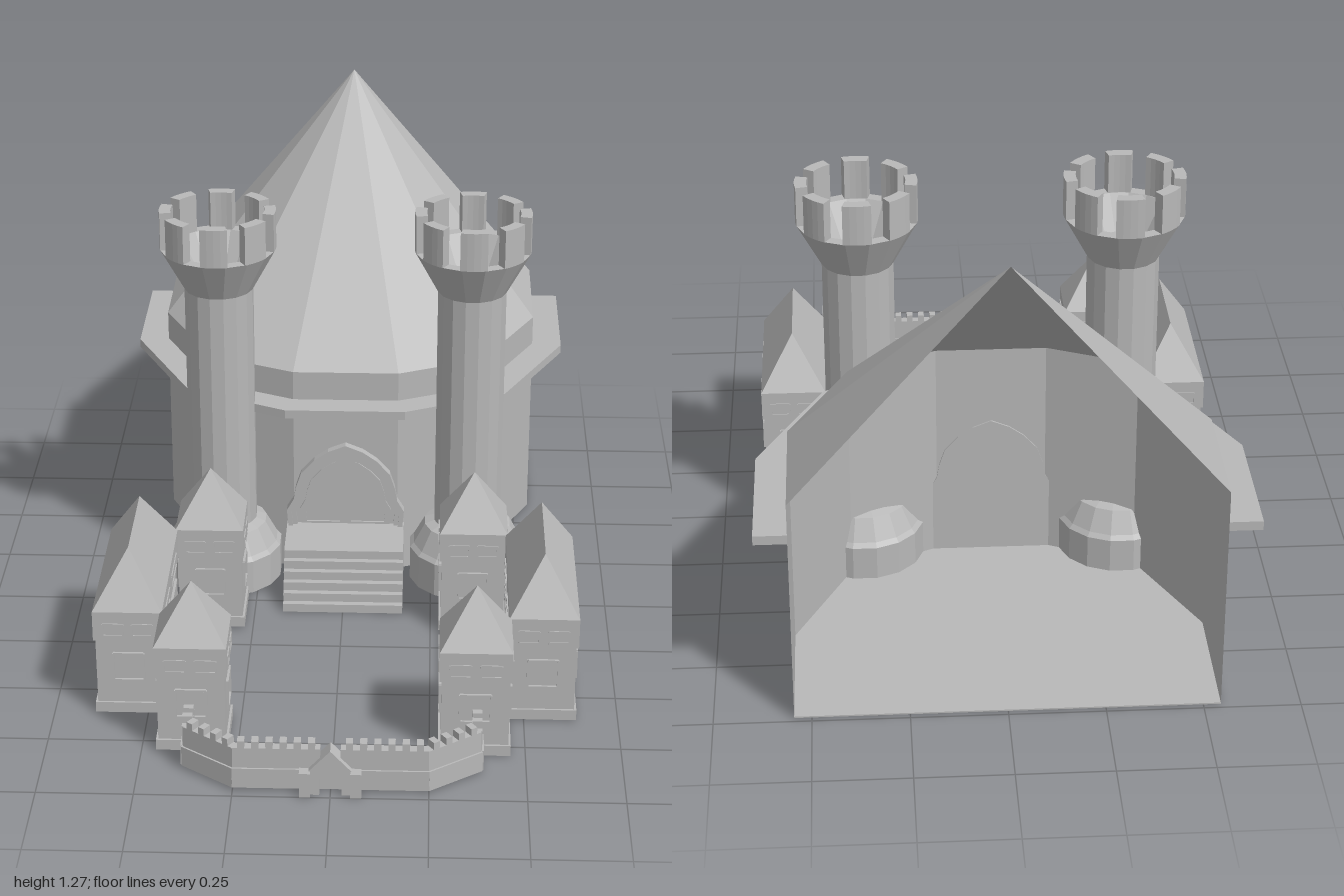
import * as THREE from 'three';

const stone = new THREE.MeshStandardMaterial({ color: 0xb8b8b8, flatShading: true, side: THREE.DoubleSide });
stone.name = 'grey stone';

function add(parent, name, geometry, x = 0, y = 0, z = 0) {
  const m = new THREE.Mesh(geometry, stone);
  m.name = name;
  m.position.set(x, y, z);
  parent.add(m);
  return m;
}

// Box given by its centre in plan and its bottom and top heights
function block(parent, name, w, d, y0, y1, x = 0, z = 0) {
  return add(parent, name, new THREE.BoxGeometry(w, y1 - y0, d), x, (y0 + y1) / 2, z);
}

// Plan shape from [x, z] points, laid flat and extruded upward
function slab(points, height) {
  const s = new THREE.Shape(points.map(([x, z]) => new THREE.Vector2(x, -z)));
  return new THREE.ExtrudeGeometry(s, { depth: height, bevelEnabled: false }).rotateX(-Math.PI / 2);
}

const mirror = (half) => [...half.map(([x, z]) => [-x, z]), ...half.slice().reverse()];

// Great hall: half of a polygonal building, open at the back
function createHall() {
  const hall = new THREE.Group();
  hall.name = 'greatHall';
  const plan = mirror([[0.545, -0.985], [0.545, -0.62], [0.39, -0.31], [0.15, -0.205]]);
  const wall = [], roof = [];
  for (let i = 0; i < plan.length - 1; i++) {
    const [ax, az] = plan[i], [bx, bz] = plan[i + 1];
    wall.push(ax, 0, az, bx, 0, bz, bx, 0.63, bz, ax, 0, az, bx, 0.63, bz, ax, 0.63, az);
    roof.push(ax, 0.63, az, bx, 0.63, bz, 0, 1.27, -1);
  }
  for (const [name, list] of [['hallWall', wall], ['hallRoof', roof]]) {
    const g = new THREE.BufferGeometry();
    g.setAttribute('position', new THREE.Float32BufferAttribute(list, 3));
    g.computeVertexNormals();
    add(hall, name, g);
  }
  add(hall, 'hallFloor', slab(plan, 0.004));
  const outer = mirror([[0.63, -0.985], [0.63, -0.61], [0.455, -0.26], [0.17, -0.13]]);
  add(hall, 'hallLedge', slab([...outer, ...plan.slice().reverse()], 0.025), 0, 0.52);
  return hall;
}

// Double door with a wavy arched frame
function createDoor() {
  const door = new THREE.Group();
  door.name = 'mainDoor';
  const half = [[0.165, 0], [0.17, 0.06], [0.15, 0.095], [0.143, 0.135], [0.128, 0.18], [0.09, 0.222], [0.05, 0.25], [0, 0.27]];
  const outline = (k) => [...half.map(([x, y]) => new THREE.Vector2(x * k, y * k)),
    ...half.slice(0, -1).reverse().map(([x, y]) => new THREE.Vector2(-x * k, y * k))];
  const frame = (name, k0, k1, depth) => {
    const s = new THREE.Shape([...outline(k0), ...outline(k1).reverse()]);
    add(door, name, new THREE.ExtrudeGeometry(s, { depth, bevelEnabled: false }));
  };
  frame('outerFrame', 1, 0.92, 0.03);
  frame('innerFrame', 0.92, 0.84, 0.022);
  add(door, 'doorPanel', new THREE.ExtrudeGeometry(new THREE.Shape(outline(0.84)), { depth: 0.01, bevelEnabled: false }));
  // Raised border on each leaf
  for (const side of [-1, 1]) {
    const leaf = (k, in0) => [[in0, 0.012], ...half.map(([x, y]) => [Math.max(x * k, in0), y * k + 0.012])];
    const s = new THREE.Shape(leaf(0.78, 0.006).map(([x, y]) => new THREE.Vector2(x * side, y)));
    s.holes.push(new THREE.Path(leaf(0.68, 0.016).map(([x, y]) => new THREE.Vector2(x * side, y + 0.006))));
    add(door, 'leafBorder', new THREE.ExtrudeGeometry(s, { depth: 0.016, bevelEnabled: false }));
  }
  door.position.set(0, 0.14, -0.21);
  return door;
}

// Round tower with flared base, flared crown and eight merlons
function createTower(x) {
  const tower = new THREE.Group();
  tower.name = 'roundTower';
  const profile = [[0, 0], [0.168, 0], [0.168, 0.1], [0.157, 0.112], [0.125, 0.172], [0.097, 0.182],
    [0.097, 0.9], [0.162, 1.02], [0.13, 1.02], [0.075, 0.93], [0, 0.93]];
  add(tower, 'towerBody', new THREE.LatheGeometry(profile.map(([r, y]) => new THREE.Vector2(r, y)), 16, Math.PI / 16));
  const a = 0.235, s = new THREE.Shape();
  s.absarc(0, 0, 0.162, -a, a, false);
  s.absarc(0, 0, 0.13, a, -a, true);
  const merlon = new THREE.ExtrudeGeometry(s, { depth: 0.11, bevelEnabled: false, curveSegments: 2 }).rotateX(-Math.PI / 2);
  for (let i = 0; i < 8; i++) add(tower, 'towerMerlon', merlon, 0, 1.02).rotation.y = i * Math.PI / 4;
  tower.position.set(x, 0, -0.187);
  return tower;
}

// Window: a thin frame with upright bars, facing along the group's +z
function createWindow(w, h, panes) {
  const win = new THREE.Group();
  win.name = 'window';
  const t = 0.005;
  for (const s of [-1, 1]) block(win, 'windowRail', w, 0.012, s * h / 2 - t / 2, s * h / 2 + t / 2);
  for (let i = 0; i <= panes; i++) block(win, 'windowBar', t, 0.012, -h / 2, h / 2, -w / 2 + w * i / panes);
  return win;
}

// House with plinth, overhanging upper storey and hipped roof
function createHouse(x, z, w, d, ridge) {
  const house = new THREE.Group();
  house.name = 'house';
  const frame = new THREE.Group();
  frame.name = 'plinth';
  house.add(frame);
  for (const s of [-1, 1]) {
    block(frame, 'plinthSide', 0.022, d, 0.005, 0.035, s * (w / 2 - 0.011), 0);
    block(frame, 'plinthEnd', w, 0.022, 0.005, 0.035, 0, s * (d / 2 - 0.011));
  }
  block(house, 'lowerWall', w - 0.012, d - 0.012, 0.025, 0.225);
  block(house, 'upperWall', w, d, 0.225, 0.31);
  const g = new THREE.BoxGeometry(w, 0.15, d), p = g.attributes.position;
  for (let i = 0; i < p.count; i++) {
    if (p.getY(i) > 0) p.setXYZ(i, 0, 0.075, Math.sign(p.getZ(i)) * ridge);
  }
  g.computeVertexNormals();
  add(house, 'hippedRoof', g, 0, 0.385);
  // Windows on all four sides, lower row then a pair above
  for (let k = 0; k < 4; k++) {
    const along = k % 2 ? d : w, out = k % 2 ? w : d, angle = k * Math.PI / 2;
    const place = (win, u, y, r) => {
      win.position.set(Math.cos(angle) * u + Math.sin(angle) * r, y, Math.cos(angle) * r - Math.sin(angle) * u);
      win.rotation.y = angle;
      house.add(win);
    };
    const long = along > 0.3;
    place(createWindow(long ? 0.35 : 0.08, 0.08, long ? 9 : 1), 0, 0.145, out / 2 - 0.005);
    for (const s of [-1, 1]) place(createWindow(along * 0.29, 0.034, 1), s * along * 0.21, 0.257, out / 2 - 0.003);
  }
  house.position.set(x, 0, z);
  return house;
}

// Front curtain wall following a bent path, with small merlons
function createCurtainWall(side) {
  const wall = new THREE.Group();
  wall.name = 'curtainWall';
  const path = [[0.372, 0.79], [0.372, 0.868], [0.245, 0.958], [0.03, 0.958]];
  for (let i = 0; i < 3; i++) {
    const [ax, az] = path[i], [bx, bz] = path[i + 1];
    const dx = (bx - ax) * side, dz = bz - az, len = Math.hypot(dx, dz);
    const part = new THREE.Group();
    part.name = 'wallSection';
    block(part, 'lowerCourse', len + 0.012, 0.036, 0.01, 0.067);
    block(part, 'upperCourse', len + 0.008, 0.026, 0.067, 0.125);
    const n = Math.max(2, Math.round(len / 0.036));
    for (let k = 0; k < n; k++) block(part, 'wallMerlon', 0.018, 0.026, 0.125, 0.145, -len / 2 + len * (k + 0.5) / n);
    part.position.set(side * (ax + bx) / 2, 0, (az + bz) / 2);
    part.rotation.y = -Math.atan2(dz, dx);
    wall.add(part);
  }
  return wall;
}

// Gabled gate with arched opening and side posts
function createGate() {
  const gate = new THREE.Group();
  gate.name = 'gatehouse';
  const s = new THREE.Shape();
  s.moveTo(0.028, 0).lineTo(0.055, 0).lineTo(0.055, 0.07).lineTo(0, 0.13).lineTo(-0.055, 0.07).lineTo(-0.055, 0).lineTo(-0.028, 0);
  s.lineTo(-0.028, 0.045);
  s.absarc(0, 0.045, 0.028, Math.PI, 0, true);
  add(gate, 'gateArch', new THREE.ExtrudeGeometry(s, { depth: 0.045, bevelEnabled: false, curveSegments: 8 }), 0, 0, 0.942);
  for (const x of [-0.065, 0.065]) block(gate, 'gatePost', 0.028, 0.06, 0, 0.07, x, 0.97);
  block(gate, 'gateDoor', 0.06, 0.01, 0, 0.075, 0, 0.955);
  return gate;
}

export function createModel() {
  const castle = new THREE.Group();
  castle.name = 'castle';
  castle.add(createHall(), createDoor(), createGate());
  // Entrance stairs
  const stairs = new THREE.Group();
  stairs.name = 'stairs';
  for (let i = 0; i < 6; i++) {
    const front = 0.062 - i * 0.018;
    block(stairs, 'step', 0.34, front + 0.21, i * 0.025, (i + 1) * 0.025, 0, (front - 0.21) / 2);
  }
  castle.add(stairs);
  for (const side of [-1, 1]) {
    castle.add(createTower(side * 0.354), createCurtainWall(side));
    castle.add(createHouse(side * 0.367, 0.07, 0.188, 0.178, 0));
    castle.add(createHouse(side * 0.367, 0.71, 0.188, 0.178, 0));
    castle.add(createHouse(side * 0.547, 0.39, 0.184, 0.46, 0.145));
  }
  return castle;
}
